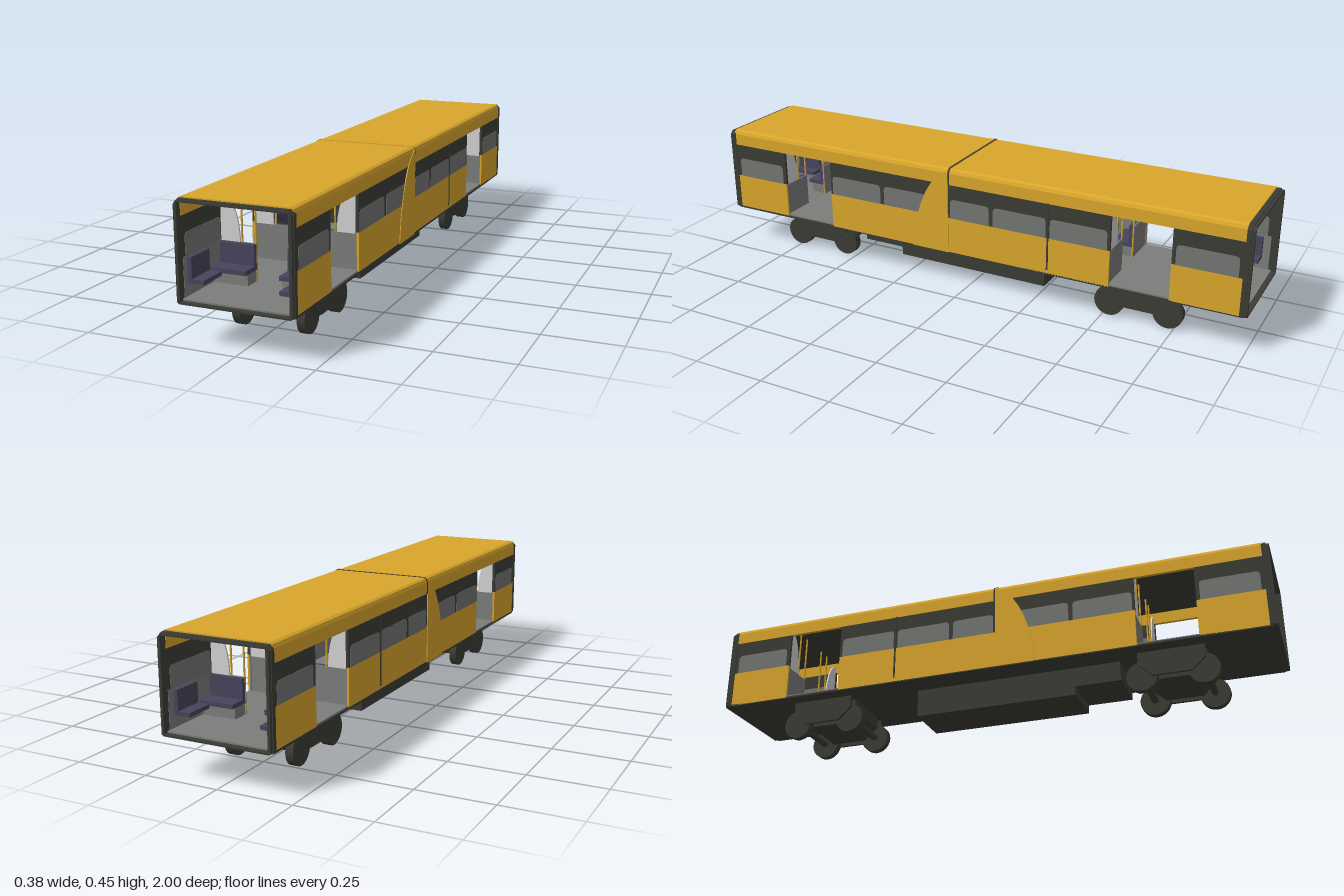
import * as THREE from 'three';

const mat = (name, color) => Object.assign(new THREE.MeshStandardMaterial({ color }), { name });

export function createModel() {
  const yellow = mat('yellow paint', 0xd9a62c);
  const dark = mat('dark trim', 0x3c3c35);
  const glass = mat('window grey', 0x747674);
  const grey = mat('interior grey', 0x7b7d7b);
  const light = mat('light screen', 0xd2d2d2);
  const blue = mat('seat fabric', 0x46445c);

  const model = new THREE.Group();
  model.name = 'railcar';

  const add = (name, geometry, material) => {
    const mesh = new THREE.Mesh(geometry, material);
    mesh.name = name;
    model.add(mesh);
    return mesh;
  };
  // Box given by its limits on each axis
  const box = (name, material, [x0, x1], [y0, y1], [z0, z1]) => {
    const g = new THREE.BoxGeometry(Math.abs(x1 - x0), y1 - y0, Math.abs(z1 - z0));
    g.translate((x0 + x1) / 2, (y0 + y1) / 2, (z0 + z1) / 2);
    return add(name, g, material);
  };
  const shapeOf = pts => new THREE.Shape(pts.map(p => new THREE.Vector2(...p)));
  // Extrusion of an (x, y) outline along z
  const along = (name, material, shape, z0, z1) => {
    const g = new THREE.ExtrudeGeometry(shape, { depth: z1 - z0, bevelEnabled: false, curveSegments: 10 });
    g.translate(0, 0, z0);
    return add(name, g, material);
  };
  // Extrusion of a (z, y) outline along x
  const across = (name, material, shape, x0, x1) => {
    const g = new THREE.ExtrudeGeometry(shape, { depth: x1 - x0, bevelEnabled: false, curveSegments: 8 });
    g.rotateY(-Math.PI / 2).translate(x1, 0, 0);
    return add(name, g, material);
  };

  // Floor and ceiling
  box('floor', grey, [-0.182, 0.182], [0.139, 0.144], [-0.985, 0.985]);
  box('underfloor', dark, [-0.185, 0.185], [0.132, 0.139], [-0.985, 0.985]);
  box('ceiling', dark, [-0.174, 0.174], [0.43, 0.435], [-0.975, 0.975]);

  // Roof shell with chamfered shoulders, and the raised hoop at the joint
  const roofOutline = (w, h, base) => {
    const half = [[w, base], [w, h - 0.016], [w - 0.005, h - 0.005], [w - 0.014, h]];
    const inner = [[w - 0.012, base], [w - 0.012, 0.435]];
    const flip = list => list.map(([x, y]) => [-x, y]).reverse();
    return shapeOf([...half, ...flip(half), ...inner.map(([x, y]) => [-x, y]), ...inner.slice().reverse()]);
  };
  along('roof', yellow, roofOutline(0.185, 0.445, 0.388), -0.975, 0.98);
  along('roofHoop', yellow, roofOutline(0.187, 0.448, 0.388), 0.058, 0.066);
  along('roofJoint', dark, roofOutline(0.1865, 0.4465, 0.388), 0.052, 0.058);

  // Open end frames
  for (const s of [-1, 1]) {
    const frame = (w, top) => {
      const f = shapeOf([[-w + 0.006, 0.132], [w - 0.006, 0.132], [w, 0.138], [w, top - 0.012],
        [w - 0.012, top], [-w + 0.012, top], [-w, top - 0.012], [-w, 0.138]]);
      f.holes.push(new THREE.Path([[-0.174, 0.138], [-0.174, 0.432], [0.174, 0.432], [0.174, 0.138]]
        .map(p => new THREE.Vector2(...p))));
      return f;
    };
    along('endFrame', dark, frame(0.187, 0.441), s > 0 ? 0.975 : -0.99, s > 0 ? 0.99 : -0.975);
    along('endLip', dark, frame(0.184, 0.438), s > 0 ? 0.99 : -1, s > 0 ? 1 : -0.99);
  }

  // Side wall sections between the doorways: limits, then window limits
  const sections = [
    [0.752, 0.975, [[0.765, 0.962]]],
    [-0.54, 0.548, [[0.335, 0.54], [0.08, 0.32], [-0.1, 0.05], [-0.312, -0.115], [-0.53, -0.327]]],
    [-0.975, -0.747, [[-0.962, -0.76]]],
  ];
  const windowShape = (a, b) => {
    const r = 0.016, y0 = 0.265, y1 = 0.335;
    const w = new THREE.Shape();
    w.moveTo(a, y0);
    w.lineTo(b, y0);
    w.lineTo(b, y1 - r);
    w.quadraticCurveTo(b, y1, b - r, y1);
    w.lineTo(a + r, y1);
    w.quadraticCurveTo(a, y1, a, y1 - r);
    return w;
  };
  for (const s of [-1, 1]) {
    for (const [a, b, windows] of sections) {
      box('lowerWall', yellow, [s * 0.178, s * 0.185], [0.136, 0.265], [a, b]);
      box('wallLining', grey, [s * 0.173, s * 0.178], [0.14, 0.265], [a, b]);
      box('windowBand', dark, [s * 0.174, s * 0.184], [0.265, 0.39], [a, b]);
      for (const [p, q] of windows) {
        across('window', glass, windowShape(p, q), s > 0 ? 0.173 : -0.185, s > 0 ? 0.185 : -0.173);
      }
    }
    box('panelSeam', dark, [s * 0.18, s * 0.187], [0.15, 0.39], [-0.323, -0.317]);

    // Curved fairing beside the joint
    const fin = new THREE.Shape();
    fin.moveTo(0.058, 0.135);
    fin.lineTo(0.2, 0.135);
    fin.bezierCurveTo(0.195, 0.24, 0.15, 0.4, 0.066, 0.434);
    fin.lineTo(0.058, 0.434);
    across('sideFairing', yellow, fin, s > 0 ? 0.18 : -0.1875, s > 0 ? 0.1875 : -0.18);
  }

  // Middle bulkhead with a painted header
  box('bulkhead', dark, [-0.174, 0.174], [0.144, 0.43], [0.05, 0.062]);
  box('bulkheadHeader', yellow, [-0.174, 0.174], [0.41, 0.43], [0.046, 0.066]);

  // Draught screens, poles and seats at each doorway edge; d points away from the door
  const poleGeometry = new THREE.CylinderGeometry(0.0032, 0.0032, 0.29, 8);
  const edges = [[0.755, 1], [0.545, -1], [-0.537, 1], [-0.75, -1]];
  for (const [z, d] of edges) {
    for (const s of [-1, 1]) {
      box('screenBase', grey, [s * 0.055, s * 0.174], [0.144, 0.26], [z, z + d * 0.006]);
      const screen = new THREE.Shape();
      screen.moveTo(s * 0.174, 0.26);
      screen.lineTo(s * 0.11, 0.26);
      screen.bezierCurveTo(s * 0.11, 0.34, s * 0.135, 0.405, s * 0.174, 0.416);
      along('screen', light, screen, Math.min(z, z + d * 0.006), Math.max(z, z + d * 0.006));
      for (const x of [0.057, 0.103]) {
        add('pole', poleGeometry, yellow).position.set(s * x, 0.287, z + d * 0.004);
      }
      // Pair of seats backing on to the screen
      box('seatBack', blue, [s * 0.055, s * 0.172], [0.192, 0.26], [z + d * 0.006, z + d * 0.02]);
      box('seatCushion', blue, [s * 0.055, s * 0.172], [0.18, 0.194], [z + d * 0.006, z + d * 0.075]);
      box('seatBase', grey, [s * 0.057, s * 0.172], [0.144, 0.18], [z + d * 0.006, z + d * 0.06]);
      // Side seat against the wall
      box('sideSeatBack', blue, [s * 0.16, s * 0.173], [0.195, 0.26], [z + d * 0.1, z + d * 0.2]);
      box('sideSeatCushion', blue, [s * 0.12, s * 0.173], [0.182, 0.195], [z + d * 0.1, z + d * 0.2]);
    }
  }

  // Equipment under the floor
  box('equipmentBox', dark, [-0.088, 0.088], [0.034, 0.134], [-0.268, 0.31]);
  box('equipmentStep', dark, [-0.088, 0.088], [0.064, 0.134], [0.31, 0.468]);

  // Bogies
  const wheelGeometry = new THREE.CylinderGeometry(0.052, 0.052, 0.026, 24).rotateZ(Math.PI / 2);
  const axleGeometry = new THREE.CylinderGeometry(0.012, 0.012, 0.2, 12).rotateZ(Math.PI / 2);
  for (const z of [0.648, -0.624]) {
    const profile = shapeOf([[z - 0.065, 0.046], [z + 0.065, 0.046], [z + 0.112, 0.09],
      [z + 0.112, 0.134], [z - 0.112, 0.134], [z - 0.112, 0.09]]);
    across('bogieBody', dark, profile, -0.093, 0.093);
    for (const s of [-1, 1]) {
      across('bogieSideFrame', dark, profile, s > 0 ? 0.122 : -0.132, s > 0 ? 0.132 : -0.122);
      add('axle', axleGeometry, dark).position.set(0, 0.053, z + s * 0.103);
      for (const t of [-1, 1]) {
        add('wheel', wheelGeometry, dark).position.set(t * 0.108, 0.052, z + s * 0.103);
      }
    }
  }
  return model;
}
